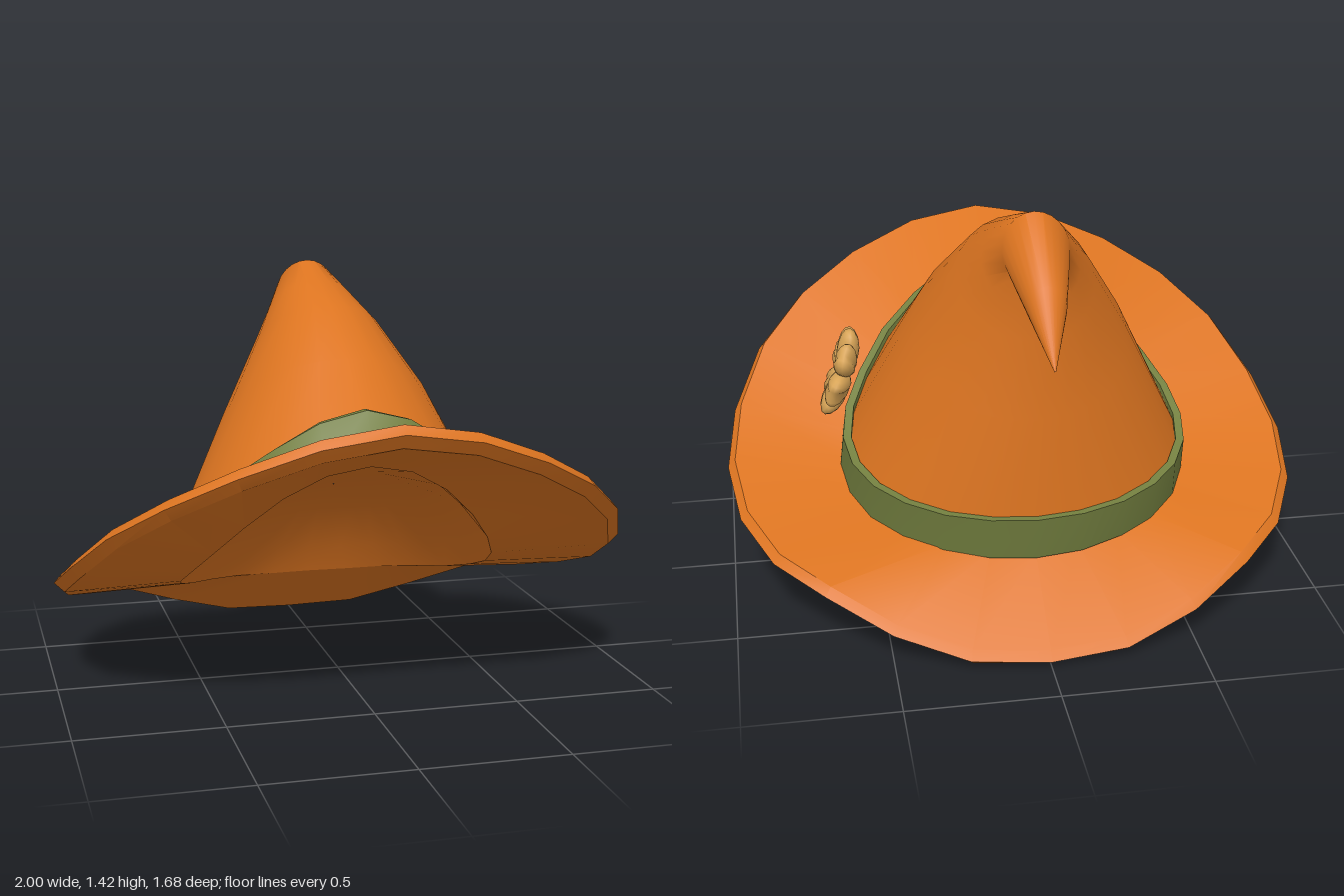
import * as THREE from 'three';
import { mergeVertices, toCreasedNormals } from 'three/addons/utils/BufferGeometryUtils.js';

const N = 24;
const orange = new THREE.MeshStandardMaterial({ color: 0xdc7420 });
orange.name = 'orange felt';
const green = new THREE.MeshStandardMaterial({ color: 0x748040 });
green.name = 'green ribbon';
const gold = new THREE.MeshStandardMaterial({ color: 0xd9a557 });
gold.name = 'golden petals';

// Heights from front (0 degrees) to back (180 degrees) in 15 degree steps
const rimY = [1.01, 0.97, 0.88, 0.77, 0.645, 0.5, 0.39, 0.31, 0.25, 0.21, 0.118, 0.042, 0.028];
const innerY = [0.88, 0.85, 0.77, 0.66, 0.55, 0.46, 0.395, 0.35, 0.315, 0.295, 0.28, 0.265, 0.26];
const bandTopY = [1.01, 0.97, 0.88, 0.78, 0.665, 0.585, 0.525, 0.485, 0.455, 0.435, 0.42, 0.413, 0.41];

// Underside of the brim: thicker below the front than the back
const under = (h, i) => h - 0.047 + (0.025 * i) / 12;
const rimUnderY = rimY.map(under);
const innerUnderY = innerY.map(under);

// Oval ring whose height follows a mirrored table; bulge squares the oval a little
function ring(rx, rz, cz, heights, dy = 0, bulge = 0) {
  return Array.from({ length: N }, (_, i) => {
    const a = (i / N) * Math.PI * 2, s = Math.sin(a);
    const z = cz + rz * Math.cos(a) * (1 + bulge * s * s);
    return [rx * s, heights[Math.min(i, N - i)] + dy, z];
  });
}

// Oval ring spanned by a front point, a back point and a half width
function section([fz, fy], [bz, by], w, sag = 0) {
  return Array.from({ length: N }, (_, i) => {
    const a = (i / N) * Math.PI * 2, c = Math.cos(a), s = Math.sin(a);
    return [
      w * s,
      (fy + by) / 2 + ((fy - by) / 2) * c - sag * s * s,
      (fz + bz) / 2 + ((fz - bz) / 2) * c,
    ];
  });
}

// Skin a list of rings
function loft(rings, crease) {
  const index = [];
  for (let r = 0; r < rings.length - 1; r++) {
    for (let i = 0; i < N; i++) {
      const j = (i + 1) % N;
      const a = r * N + i, b = r * N + j, c = a + N, d = b + N;
      index.push(a, b, d, a, d, c);
    }
  }
  const g = new THREE.BufferGeometry();
  g.setAttribute('position', new THREE.Float32BufferAttribute(rings.flat(2), 3));
  g.setIndex(index);
  return toCreasedNormals(g, crease);
}

function add(parent, name, geometry, material) {
  const mesh = new THREE.Mesh(geometry, material);
  mesh.name = name;
  parent.add(mesh);
  return mesh;
}

// Domed petal, narrow at the root and notched at the tip
function petalGeometry() {
  let g = new THREE.SphereGeometry(1, 14, 10);
  g.deleteAttribute('uv');
  g.deleteAttribute('normal');
  g = mergeVertices(g, 1e-4);
  const p = g.attributes.position;
  for (let i = 0; i < p.count; i++) {
    const t = (p.getX(i) + 1) / 2, y = p.getY(i), z = p.getZ(i);
    const notch = 0.02 * t * t * Math.max(0, 1 - Math.abs(y) * 2.5);
    const groove = 1 - 0.3 * t * Math.max(0, 1 - Math.abs(y) * 3);
    p.setXYZ(i, 0.168 * t - notch, y * 0.068 * (0.35 + 0.8 * t), z * 0.042 * groove + 0.02 * t * t);
  }
  g.computeVertexNormals();
  return g;
}

export function createModel() {
  const hat = new THREE.Group();
  hat.name = 'hat';

  // Wide brim with a bevelled rim
  add(hat, 'brim', loft([
    ring(0.56, 0.465, -0.02, innerUnderY),
    ring(0.965, 0.81, 0, rimUnderY, 0, 0.1),
    ring(1, 0.842, 0, rimY, 0, 0.1),
    ring(0.975, 0.815, 0, rimY, 0.028, 0.1),
    ring(0.58, 0.49, -0.035, innerY),
  ], 0.5), orange);

  // Shallow hollow under the crown
  add(hat, 'lining', loft([
    section([-0.06, 0.67], [-0.064, 0.668], 0.002),
    section([0.15, 0.76], [-0.31, 0.52], 0.26, 0.03),
    section([0.34, 0.83], [-0.43, 0.35], 0.46, 0.11),
    ring(0.56, 0.465, -0.02, innerUnderY),
  ], 1.2), orange);

  // Crown leaning back, folded over at the tip
  add(hat, 'crown', loft([
    ring(0.575, 0.463, -0.098, bandTopY, -0.03),
    section([0.13, 1.145], [-0.545, 0.75], 0.365, 0.03),
    section([-0.1, 1.3], [-0.53, 1.02], 0.225),
    section([-0.29, 1.37], [-0.535, 1.13], 0.16),
    section([-0.46, 1.43], [-0.54, 1.2], 0.108),
    section([-0.7, 1.272], [-0.705, 1.122], 0.06),
    section([-0.834, 1.048], [-0.832, 1.044], 0.002),
  ], 0.9), orange);

  // Ribbon around the foot of the crown
  add(hat, 'band', loft([
    ring(0.61, 0.52, -0.033, innerY, -0.01),
    ring(0.6, 0.488, -0.098, bandTopY),
    ring(0.572, 0.458, -0.098, bandTopY),
    ring(0.572, 0.458, -0.098, bandTopY, -0.04),
  ], 0.6), green);

  // Six-petal flower on the left of the band
  const flower = new THREE.Group();
  flower.name = 'flower';
  flower.position.set(0.58, 0.68, 0.11);
  flower.rotation.set(-0.32, 1.45, 0, 'YXZ');
  const petal = petalGeometry();
  for (let i = 0; i < 6; i++) {
    add(flower, 'petal', petal, gold).rotation.z = Math.PI * (105 / 180 + i / 3);
  }
  hat.add(flower);

  return hat;
}
